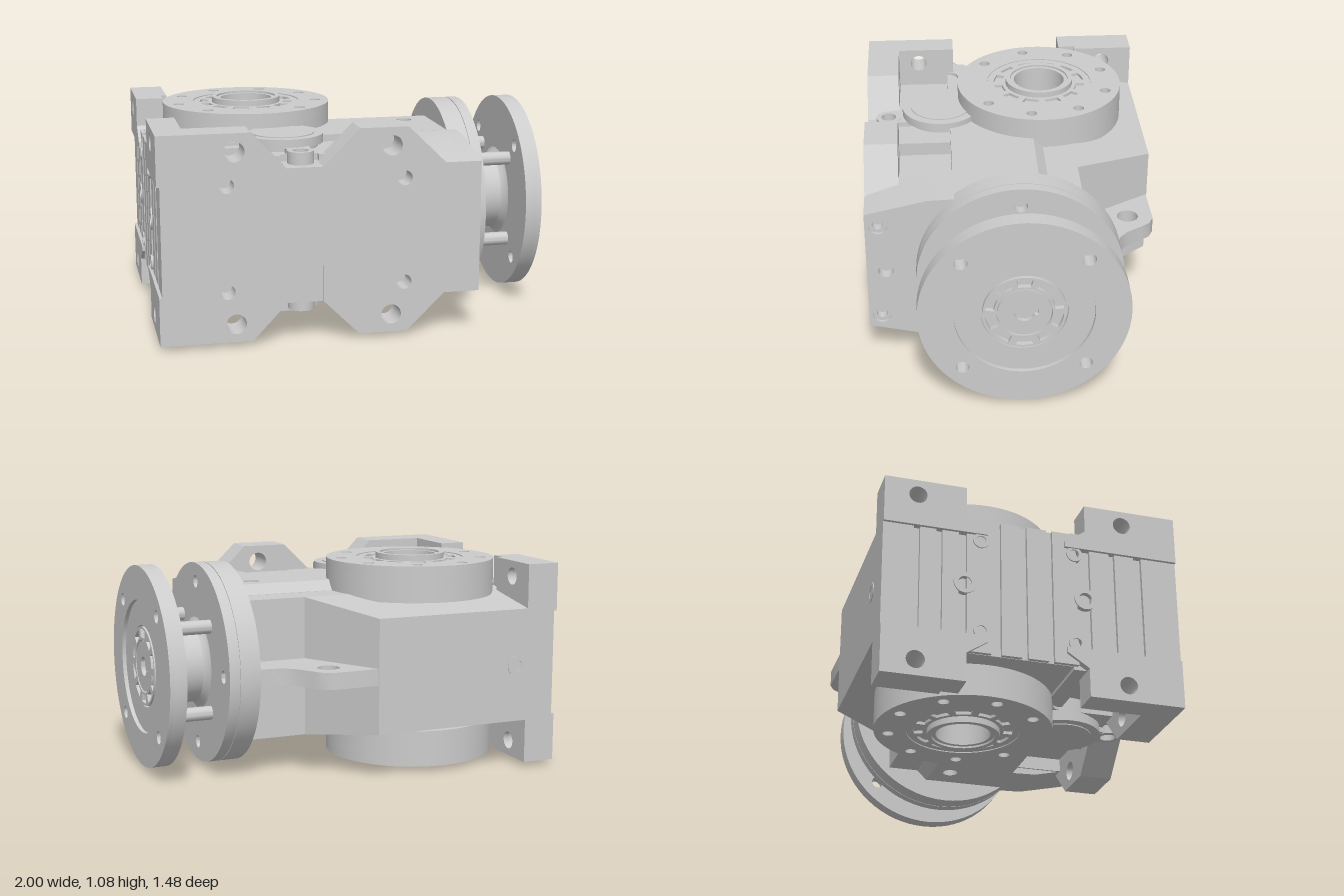
import * as THREE from 'three';
import { toCreasedNormals } from 'three/addons/utils/BufferGeometryUtils.js';
import { ConvexGeometry } from 'three/addons/geometries/ConvexGeometry.js';

const PI = Math.PI;
const OUT = [-0.43, -0.19];   // output axis (x, z)
const IN_Z = -0.02;           // input axis z
const mat = new THREE.MeshStandardMaterial({ color: 0xcccccc });

// ---- outlines: arrays of [u, v] ----
const circle = (u, v, r, n = 40) => Array.from({ length: n }, (_, i) =>
  [u + r * Math.cos(i / n * 2 * PI), v + r * Math.sin(i / n * 2 * PI)]);
const rect = (u0, v0, u1, v1) => [[u0, v0], [u1, v0], [u1, v1], [u0, v1]];
function roundRect(u0, v0, u1, v1, r) {
  const corners = [[u1 - r, v1 - r], [u0 + r, v1 - r], [u0 + r, v0 + r], [u1 - r, v0 + r]];
  return corners.flatMap(([u, v], k) => [0, 1, 2, 3, 4].map(i => {
    const a = (k + i / 4) * PI / 2;
    return [u + r * Math.cos(a), v + r * Math.sin(a)];
  }));
}
// ring-sector windows around a centre
function windows(u, v, r0, r1, n) {
  return Array.from({ length: n }, (_, k) => {
    const arc = (r, s) => Array.from({ length: 6 }, (_, i) => {
      const a = (k + 0.5 + s * (i / 5 - 0.5) * 0.68) * 2 * PI / n;
      return [u + r * Math.cos(a), v + r * Math.sin(a)];
    });
    return [...arc(r1, 1), ...arc(r0, -1)];
  });
}

// ---- extrusions along each axis; every loop is made counter-clockwise ----
function extrude(pts, depth, holes, su = 1, sv = 1) {
  const loop = list => {
    const v = list.map(([a, b]) => new THREE.Vector2(su * a, sv * b));
    return THREE.ShapeUtils.isClockWise(v) ? v.reverse() : v;
  };
  const shape = new THREE.Shape(loop(pts));
  shape.holes = holes.map(h => new THREE.Path(loop(h)));
  return new THREE.ExtrudeGeometry(shape, { depth, bevelEnabled: false });
}
const alongY = (pts, y0, y1, holes = []) =>   // points are [x, z]
  extrude(pts, y1 - y0, holes, 1, -1).rotateX(-PI / 2).translate(0, y0, 0);
const alongX = (pts, x0, x1, holes = []) =>   // points are [z, y]
  extrude(pts, x1 - x0, holes, -1, 1).rotateY(PI / 2).translate(x0, 0, 0);
const alongZ = (pts, z0, z1, holes = []) =>   // points are [x, y]
  extrude(pts, z1 - z0, holes).translate(0, 0, z0);

// mirrored copy in y with the winding restored
function mirrorY(geo) {
  const g = geo.index ? geo.toNonIndexed() : geo.clone();
  const p = g.attributes.position, a = new THREE.Vector3(), b = new THREE.Vector3();
  for (let i = 0; i < p.count; i += 3) {
    a.fromBufferAttribute(p, i + 1);
    b.fromBufferAttribute(p, i + 2);
    p.setXYZ(i + 1, b.x, b.y, b.z);
    p.setXYZ(i + 2, a.x, a.y, a.z);
  }
  return g.scale(1, -1, 1);
}

export function createModel() {
  const root = new THREE.Group();
  root.name = 'gearUnit';
  root.position.y = 0.545;    // everything below is centred on y = 0
  const add = (name, geo) => {
    const m = new THREE.Mesh(toCreasedNormals(geo, 0.6), mat);
    m.name = name;
    root.add(m);
  };
  const both = (name, geo) => {
    add(name + 'Top', geo);
    add(name + 'Bottom', mirrorY(geo));
  };
  const bore = circle(...OUT, 0.135);
  const sightHole = circle(0.4, -0.03, 0.04, 24);
  const lugHole = circle(-0.29, 0.625, 0.04, 24);

  // housing: flat middle with raised shoulder, tapering back, stepped front
  add('housingMiddle', alongY(rect(-0.965, -0.34, 0.54, 0.3), -0.355, 0.355, [bore, sightHole]));
  both('housingShoulder', alongY(rect(-0.27, -0.13, 0.54, 0.3), 0.35, 0.405, [sightHole]));
  both('shoulderSlope', alongX([[-0.18, 0.35], [-0.13, 0.35], [-0.13, 0.405], [-0.18, 0.356]], -0.27, 0.54));
  const back = [];
  for (const s of [-1, 1]) {
    for (const [x, y, z] of [[-0.965, 0.355, -0.34], [0.23, 0.355, -0.34], [-0.965, 0.29, -0.74], [0, 0.29, -0.74]])
      back.push(new THREE.Vector3(x, s * y, z));
  }
  add('housingBack', new ConvexGeometry(back));
  add('housingFront', alongX(rect(0.28, -0.3, 0.575, 0.3), -0.965, 0.32));
  both('pocketDeck', alongY([[-0.965, 0.2], [0.32, 0.2], [0.32, 0.61], [-0.195, 0.61], [-0.195, 0.575],
    [-0.385, 0.575], [-0.385, 0.61], [-0.965, 0.61]], 0.28, 0.37,
    [roundRect(-0.86, 0.24, -0.5, 0.6, 0.05), roundRect(-0.04, 0.24, 0.3, 0.6, 0.05)]));

  // right end block with counterbored holes
  const blockSide = [[0.28, -0.405], [0.43, -0.4], [0.74, -0.33], [0.74, 0.33], [0.43, 0.4], [0.28, 0.405]];
  const faceHoles = r => [-0.265, 0, 0.265].map(y => circle(y ? 0.675 : 0.645, y, y ? r : 0.038, 24));
  add('sideBlock', alongX(blockSide, 0.31, 0.53));
  add('sideBlockBores', alongX(blockSide, 0.53, 0.575, faceHoles(0.028)));
  add('sideFace', alongX(blockSide, 0.575, 0.59, faceHoles(0.047)));

  // front mounting plates either side of a waist, with bolt holes
  const plates = [
    { edge: [[-0.38, 0.335], [-0.55, 0.515], [-0.985, 0.515]], big: -0.63, small: -0.67 },
    { edge: [[0.41, 0.33], [0.22, 0.515], [-0.02, 0.515], [-0.2, 0.335]], big: 0.14, small: 0.205 }];
  for (const { edge, big, small } of plates) {
    const outline = [...edge, ...edge.map(([x, y]) => [x, -y]).reverse()];
    const bigHoles = [-0.425, 0.425].map(y => circle(big, y, 0.05, 28));
    const smallHoles = [-0.262, 0.262].map(y => circle(small, y, 0.037, 24));
    add('frontPlate', alongZ(outline, 0.62, 0.74, [...bigHoles, ...smallHoles]));
    add('frontPlateBack', alongZ(outline, 0.57, 0.62, bigHoles));
  }
  add('frontWaist', alongY(rect(-0.385, 0.57, -0.195, 0.737), -0.335, 0.335, [lugHole]));

  // left side: corner feet with sloped shoulders, broad ribs and threaded bosses
  both('frontFoot', alongX([[0.74, 0.27], [0.16, 0.27], [0.16, 0.3], [0.265, 0.37], [0.265, 0.515], [0.74, 0.515]],
    -1, -0.86, [circle(0.46, 0.435, 0.045, 28)]));
  both('backFoot', alongX([[-0.74, 0.27], [-0.23, 0.27], [-0.23, 0.3], [-0.335, 0.37], [-0.335, 0.515], [-0.74, 0.515]],
    -1, -0.86, [circle(-0.575, 0.435, 0.045, 28)]));
  both('backFootInner', alongX(rect(-0.74, 0.27, -0.42, 0.515), -0.86, -0.83, [circle(-0.575, 0.435, 0.045, 28)]));
  for (const [z, w] of [[-0.665, 0.15], [-0.52, 0.08], [-0.41, 0.08], [-0.27, 0.12], [-0.11, 0.1], [0.02, 0.1], [0.16, 0.12], [0.34, 0.1], [0.47, 0.1], [0.65, 0.18]])
    add('sideRib', alongX(rect(z - w / 2, -0.353, z + w / 2, 0.353), -0.985, -0.92));
  for (const [z, y, r] of [[-0.34, 0, 0.055], [0.26, 0, 0.055], [-0.26, 0.24, 0.04], [-0.26, -0.24, 0.04], [0.21, 0.24, 0.04], [0.21, -0.24, 0.04]])
    add('sideBoss', alongX(circle(z, y, r, 28), -0.992, -0.92, [circle(z, y, r * 0.6, 20)]));
  add('backBoss', alongZ(circle(-0.77, 0, 0.05, 28), -0.744, -0.7, [circle(-0.77, 0, 0.03, 20)]));

  // back lifting lug
  add('liftingLug', alongY([[-0.05, -0.735], [0.24, -0.74], [0.29, -0.715], [0.32, -0.67], [0.37, -0.59], [0.42, -0.545],
    [0.48, -0.53], [0.54, -0.53], [0.54, -0.3], [0.1, -0.3]], -0.042, 0.042, [circle(0.215, -0.61, 0.055, 28)]));

  // output flanges, top and bottom
  const outBolts = [];
  for (let k = 0; k < 9; k++) {
    const a = (70 - 40 * k) * PI / 180;
    if (k !== 4) outBolts.push(circle(OUT[0] + 0.37 * Math.cos(a), OUT[1] - 0.37 * Math.sin(a), 0.028, 20));
  }
  both('outputFlangeBase', alongY(circle(...OUT, 0.44, 72), 0.33, 0.47, [bore]));
  both('outputFlangeFace', alongY(circle(...OUT, 0.44, 72), 0.47, 0.515, [circle(...OUT, 0.28, 56), ...outBolts]));
  both('outputSealSeat', alongY(circle(...OUT, 0.28, 56), 0.465, 0.495, [circle(...OUT, 0.17)]));
  both('outputSealRing', alongY(circle(...OUT, 0.28, 56), 0.49, 0.51,
    [circle(...OUT, 0.17), ...windows(...OUT, 0.2, 0.245, 12)]));
  both('outputHub', alongY(circle(...OUT, 0.18, 48), 0.46, 0.53, [bore]));
  both('outputHubRim', alongY(circle(...OUT, 0.18, 48), 0.53, 0.54, [circle(...OUT, 0.155)]));

  // inspection covers with screw lugs
  both('coverNeck', alongY(circle(-0.33, 0.345, 0.18), 0.28, 0.395));
  both('inspectionCover', alongY(circle(-0.33, 0.345, 0.205, 56), 0.39, 0.435));
  both('coverCap', alongY(circle(-0.33, 0.345, 0.16, 48), 0.43, 0.44));
  both('coverScrewLug', alongY(circle(-0.29, 0.625, 0.065, 28), 0.33, 0.397, [lugHole]));
  both('coverLugBridge', alongY(rect(-0.35, 0.5, -0.23, 0.575), 0.33, 0.395));

  // input side: adapter flange, neck with tie bars, motor flange
  const disc = r => circle(IN_Z, 0, r, 72);
  const four = (r, turn, size) => [0, 1, 2, 3].map(k => {
    const a = turn + k * PI / 2;
    return circle(IN_Z + r * Math.cos(a), r * Math.sin(a), size, 24);
  });
  add('adapterFlange', alongX(disc(0.515), 0.54, 0.643));
  add('adapterGroove', alongX(disc(0.51), 0.64, 0.65));
  add('adapterRing', alongX(disc(0.515), 0.647, 0.7, four(0.42, 0, 0.033)));
  const neck = [[0.25, 0.695], [0.22, 0.705], [0.2, 0.73], [0.2, 0.885], [0.22, 0.91], [0.25, 0.92]];
  add('inputNeck', new THREE.LatheGeometry(neck.map(p => new THREE.Vector2(...p)), 48).rotateZ(-PI / 2).translate(0, 0, IN_Z));
  for (const c of four(0.311, PI / 4, 0.035)) add('tieBar', alongX(c, 0.69, 0.92));
  const bolts = four(0.427, PI / 4, 0.033);
  add('motorFlange', alongX(disc(0.515), 0.915, 0.98, [disc(0.21), ...bolts]));
  add('motorFlangeRim', alongX(disc(0.515), 0.98, 1, [disc(0.34), ...bolts]));
  add('inputBearingBack', alongX(disc(0.212), 0.916, 0.96));
  add('inputBearingCage', alongX(disc(0.202), 0.955, 0.985, [disc(0.135), ...windows(IN_Z, 0, 0.148, 0.19, 10)]));
  const keyedBore = [];
  for (let i = 0; i <= 28; i++) {
    const a = PI + 0.35 + (i / 28) * (2 * PI - 0.7);
    keyedBore.push([IN_Z + 0.05 * Math.cos(a), 0.05 * Math.sin(a)]);
  }
  keyedBore.push([IN_Z - 0.066, 0.017], [IN_Z - 0.066, -0.017]);
  add('inputHub', alongX(disc(0.13), 0.955, 0.982, [keyedBore]));
  return root;
}
